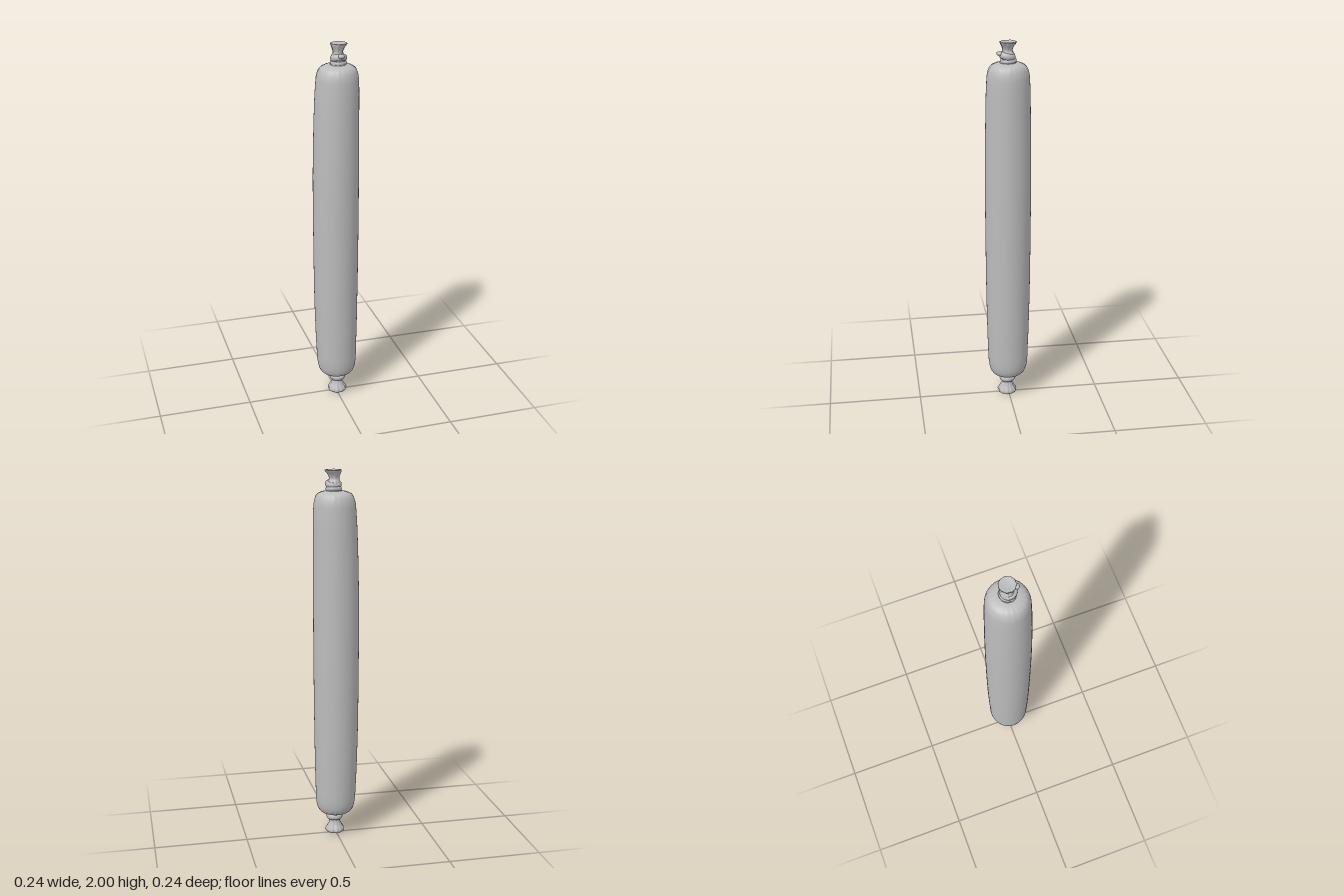
import * as THREE from 'three';

const SEG = 72;

// Smooth skin through rings [y, radius, centreX, centreZ, ripple], listed from bottom to top.
function loft(rings, folds, steps) {
  const curves = [0, 1].map(k => new THREE.CatmullRomCurve3(
    rings.map(r => k ? new THREE.Vector3(r[2], r[3], r[4]) : new THREE.Vector3(r[1], r[0], 0)), false, 'centripetal'));
  const pos = [], index = [];
  const rows = (rings.length - 1) * steps;
  for (let i = 0; i <= rows; i++) {
    const t = i / rows;
    const p = curves[0].getPoint(t);
    // Offsets and ripples are blended linearly between rings
    const k = Math.min(Math.floor(t * (rings.length - 1)), rings.length - 2);
    const f = t * (rings.length - 1) - k;
    const mix = n => THREE.MathUtils.lerp(rings[k][n], rings[k + 1][n], f);
    for (let j = 0; j < SEG; j++) {
      const a = j / SEG * Math.PI * 2;
      const wave = Math.sin(folds * a) * 0.7 + Math.sin((folds - 4) * a + 1.3) * 0.4;
      const r = Math.max(p.x, 0.0005) * (1 + mix(4) * wave);
      pos.push(mix(2) + Math.cos(a) * r, p.y, mix(3) + Math.sin(a) * r);
      if (i < rows) {
        const b = i * SEG + j, c = i * SEG + (j + 1) % SEG;
        index.push(b, b + SEG, c, c, b + SEG, c + SEG);
      }
    }
  }
  const g = new THREE.BufferGeometry();
  g.setAttribute('position', new THREE.Float32BufferAttribute(pos, 3));
  g.setIndex(index);
  g.computeVertexNormals();
  return g;
}

export function createModel() {
  const group = new THREE.Group();
  const casing = new THREE.MeshStandardMaterial({ color: 0xbcbcbc });
  casing.name = 'grey casing';

  const add = (name, geometry) => {
    const mesh = new THREE.Mesh(geometry, casing);
    mesh.name = name;
    group.add(mesh);
    return mesh;
  };

  // Long, slightly bowed body with puckered shoulders
  add('body', loft([
    [0.118, 0.0, 0.005, 0.005, 0],
    [0.118, 0.035, 0.005, 0.005, 0.05],
    [0.126, 0.068, 0.004, 0.005, 0.03],
    [0.142, 0.090, 0.003, 0.004, 0.015],
    [0.180, 0.104, 0.003, 0.003, 0.004],
    [0.300, 0.111, 0.001, 0.003, 0],
    [0.600, 0.118, -0.001, 0.002, 0],
    [1.000, 0.121, -0.001, 0.002, 0],
    [1.300, 0.121, -0.001, 0.002, 0],
    [1.600, 0.117, 0.002, 0.002, 0],
    [1.780, 0.112, 0.006, 0.002, 0],
    [1.840, 0.106, 0.007, 0.002, 0.004],
    [1.872, 0.092, 0.008, 0.002, 0.015],
    [1.886, 0.070, 0.009, 0.002, 0.025],
    [1.892, 0.036, 0.010, 0.003, 0.04],
    [1.892, 0.0, 0.010, 0.003, 0],
  ], 22, 4));

  // Gathered ends that pinch in and flare out again
  add('topEnd', loft([
    [1.880, 0.046, 0.010, 0.003, 0.03],
    [1.905, 0.036, 0.011, 0.004, 0.04],
    [1.935, 0.034, 0.010, 0.005, 0.04],
    [1.953, 0.025, 0.008, 0.006, 0.05],
    [1.975, 0.031, 0.010, 0.005, 0.07],
    [1.995, 0.042, 0.014, 0.003, 0.05],
    [1.999, 0.040, 0.014, 0.003, 0.04],
    [1.996, 0.020, 0.014, 0.003, 0.02],
    [1.994, 0.0, 0.014, 0.003, 0],
  ], 11, 3));
  add('bottomEnd', loft([
    [0.004, 0.0, 0.005, 0.008, 0],
    [0.002, 0.024, 0.005, 0.008, 0.03],
    [0.008, 0.045, 0.005, 0.008, 0.06],
    [0.022, 0.050, 0.005, 0.008, 0.07],
    [0.048, 0.036, 0.005, 0.008, 0.07],
    [0.074, 0.027, 0.005, 0.007, 0.05],
    [0.095, 0.033, 0.005, 0.006, 0.03],
    [0.128, 0.042, 0.005, 0.005, 0.03],
  ], 11, 3));

  // Twisted bands tied round the necks
  const band = (name, radius, tube, height, x, y, z, tilt) => {
    const g = new THREE.TorusGeometry(radius, tube, 12, 48);
    g.rotateX(Math.PI / 2);
    g.scale(1, height, 1);
    const mesh = add(name, g);
    mesh.position.set(x, y, z);
    mesh.rotation.x = tilt;
  };
  band('topBand', 0.030, 0.013, 1.3, 0.012, 1.925, 0.008, -0.25);
  band('topNeckBand', 0.030, 0.012, 1.1, 0.012, 1.901, 0.002, 0.08);
  band('bottomBand', 0.031, 0.014, 1.25, 0.007, 0.098, 0.006, 0.06);

  // Small loose tail of the top band
  const tail = add('bandTail', new THREE.SphereGeometry(0.016, 20, 14));
  tail.scale.set(1.1, 0.75, 1.3);
  tail.position.set(0.016, 1.937, 0.043);
  tail.rotation.x = -0.3;

  return group;
}
